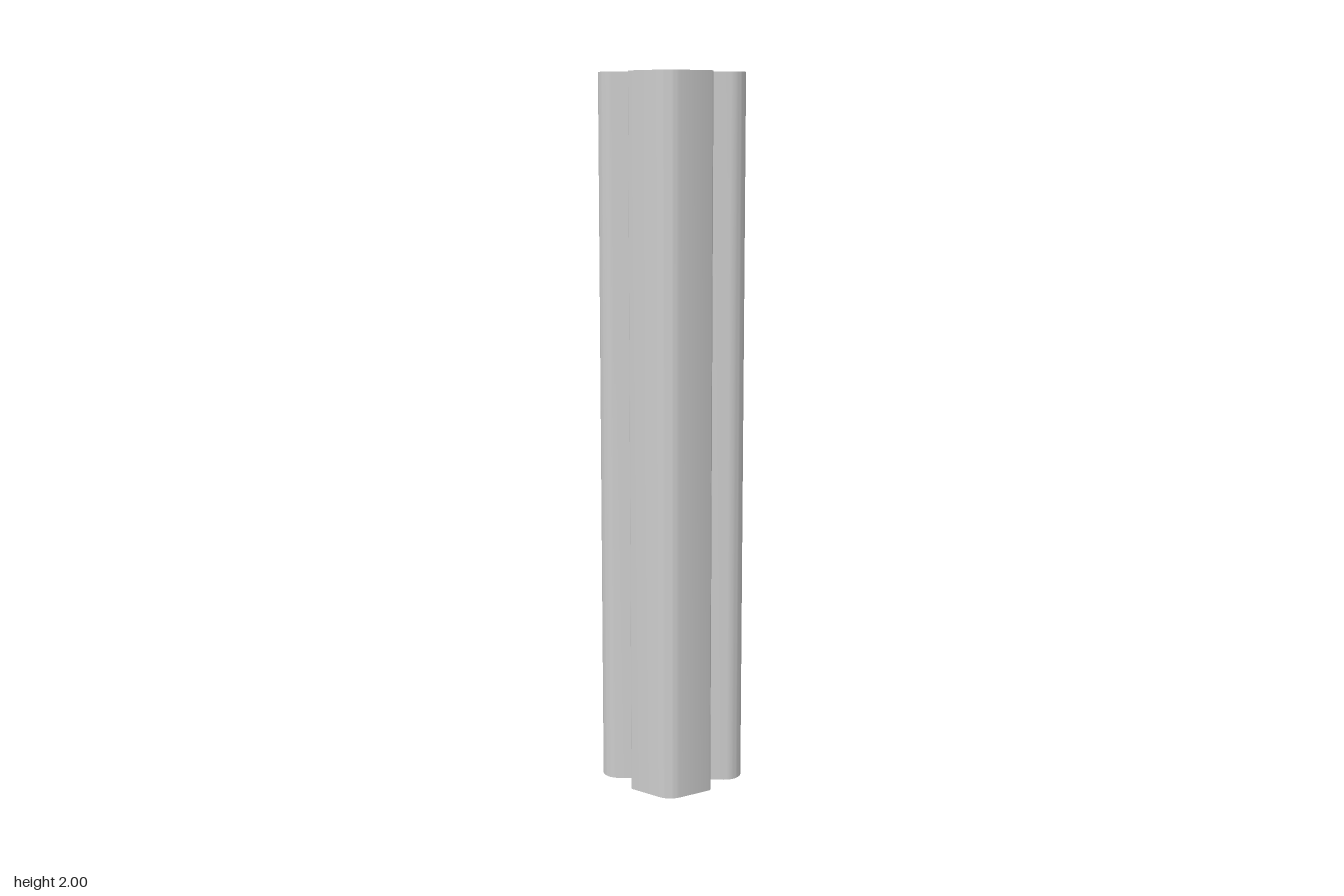
import * as THREE from 'three';
import { toCreasedNormals } from 'three/addons/utils/BufferGeometryUtils.js';

// Closed outline from corners [x, z, fillet radius]; z is flipped so the extrusion can be stood upright
function filletedPath(corners, path) {
  const pts = corners.map(([x, z]) => new THREE.Vector2(x, -z));
  const n = pts.length;
  corners.forEach(([, , r = 0], i) => {
    const p = pts[i];
    const toPrev = pts[(i + n - 1) % n].clone().sub(p).normalize();
    const toNext = pts[(i + 1) % n].clone().sub(p).normalize();
    const turn = Math.PI - Math.acos(THREE.MathUtils.clamp(toPrev.dot(toNext), -1, 1));
    const t = r * Math.tan(turn / 2);
    const k = t - r * (4 / 3) * Math.tan(turn / 4);
    const at = (dir, d) => p.clone().addScaledVector(dir, d);
    const a = at(toPrev, t), b = at(toNext, t);
    if (i === 0) path.moveTo(a.x, a.y);
    else path.lineTo(a.x, a.y);
    if (r > 0) {
      const c = at(toPrev, k), d = at(toNext, k);
      path.bezierCurveTo(c.x, c.y, d.x, d.y, b.x, b.y);
    }
  });
  path.closePath();
  return path;
}

// Holes run the opposite way round to the outline, so their walls face inwards
const rectangleHole = (x0, x1, z0, z1, r) =>
  filletedPath([[x0, z0, r], [x0, z1, r], [x1, z1, r], [x1, z0, r]], new THREE.Path());

export function createModel() {
  const rubber = new THREE.MeshStandardMaterial({ color: 0xcccccc });
  rubber.name = 'grey rubber';

  // Row of gripping ridges along the back
  const ridges = [];
  const pitch = 0.0855;
  for (let i = 0; i < 4; i++) {
    const x = -0.1285 + i * pitch;
    ridges.push([x, -0.2033, 0.008]);
    if (i < 3) ridges.push([x + pitch / 2, -0.161, 0.0215]);
  }

  // Tubular body, ridges and barbed stem in one outline
  const profile = filletedPath([
    [-0.2, -0.1595, 0.046],
    [-0.157, -0.175],
    ...ridges,
    [0.157, -0.175],
    [0.2, -0.1595, 0.046],
    [0.2, 0.057, 0.048],
    [0.065, 0.057],
    [0.065, 0.118],
    [0.139, 0.118, 0.0104],
    [0.002, 0.209, 0.052],
    [-0.134, 0.118, 0.0104],
    [-0.061, 0.118],
    [-0.061, 0.057],
    [-0.2, 0.057, 0.048],
  ], new THREE.Shape());

  // Main chamber and the slot in the stem
  profile.holes.push(
    rectangleHole(-0.156, 0.151, -0.125, 0.012, 0.026),
    rectangleHole(-0.023, 0.027, 0.057, 0.158, 0.0249),
  );

  const geometry = new THREE.ExtrudeGeometry(profile, { depth: 2, bevelEnabled: false, curveSegments: 10 });
  geometry.rotateX(-Math.PI / 2);

  const strip = new THREE.Mesh(toCreasedNormals(geometry, 0.5), rubber);
  strip.name = 'sealStrip';

  const group = new THREE.Group();
  group.name = 'sealProfile';
  group.add(strip);
  return group;
}
